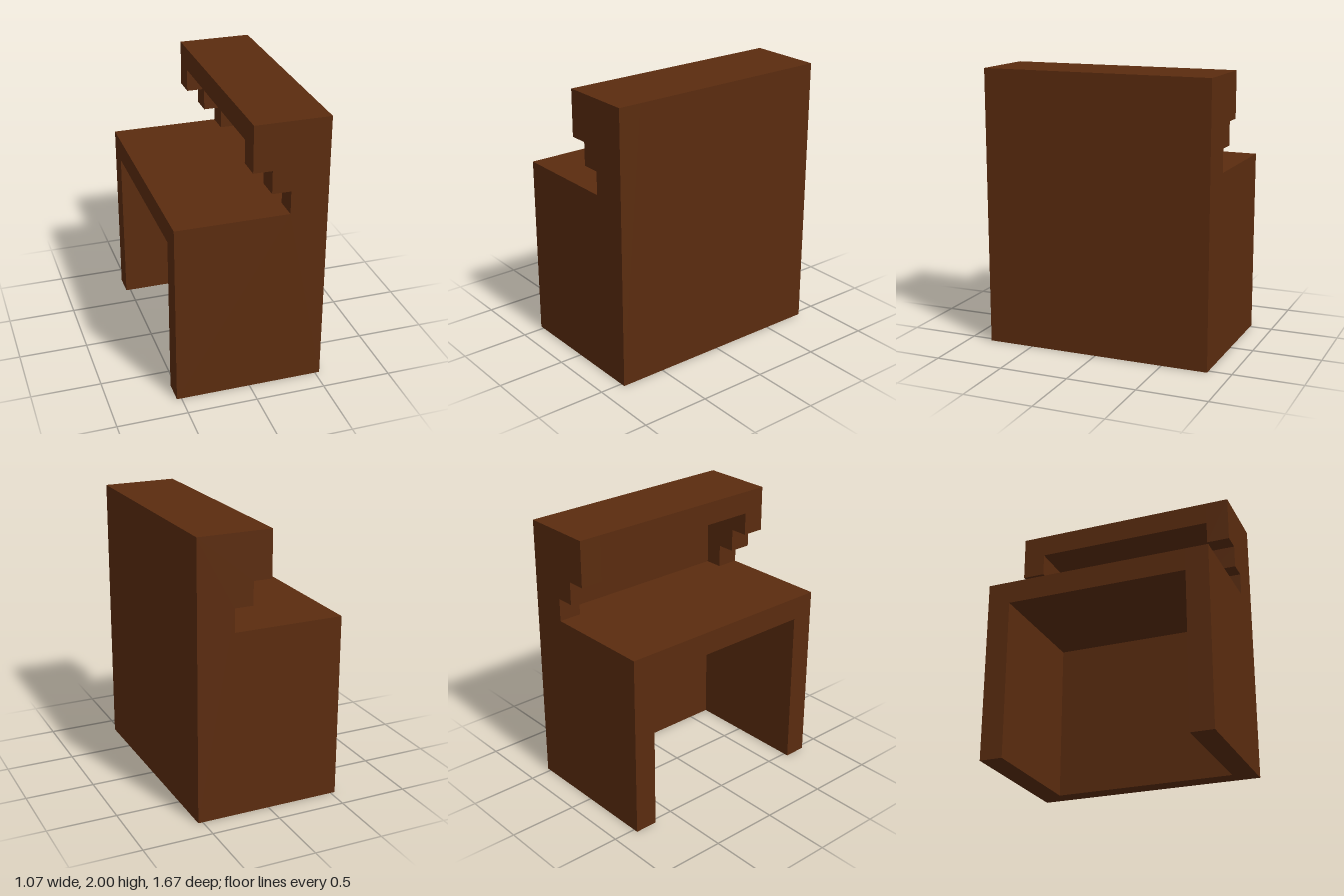
import * as THREE from 'three';

export function createModel() {
  const desk = new THREE.Group();
  desk.name = 'deskWithHutch';
  const wood = new THREE.MeshStandardMaterial({ color: 0x5b2c0f });
  wood.name = 'darkBrownWood';

  const U = 2 / 12;          // board thickness in y and z
  const W = 2 / 15;          // board thickness in x
  const X = 4 * W, Z = 5 * U; // half width and half length
  const inner = Z - U;       // inside face of the end panels

  // Stepped end panels, one at each end
  const profile = new THREE.Shape([
    [-X, 0], [X, 0], [X, 12 * U], [0, 12 * U], [0, 10 * U], [W, 10 * U],
    [W, 9 * U], [2 * W, 9 * U], [2 * W, 8 * U], [-X, 8 * U],
  ].map(([x, y]) => new THREE.Vector2(x, y)));
  const panelGeometry = new THREE.ExtrudeGeometry(profile, { depth: U, bevelEnabled: false });
  for (const [name, z] of [['frontEndPanel', inner], ['backEndPanel', -Z]]) {
    const panel = new THREE.Mesh(panelGeometry, wood);
    panel.name = name;
    panel.position.z = z;
    desk.add(panel);
  }

  // Boards spanning between the end panels
  const board = (name, x0, x1, y0, y1) => {
    const mesh = new THREE.Mesh(new THREE.BoxGeometry(x1 - x0, y1 - y0, 2 * inner), wood);
    mesh.name = name;
    mesh.position.set((x0 + x1) / 2, (y0 + y1) / 2, 0);
    desk.add(mesh);
  };
  board('tallPanel', 3 * W, X, 0, 12 * U);
  board('deskTop', -X, 3 * W, 7 * U, 8 * U);
  board('upperShelf', 0, 3 * W, 11 * U, 12 * U);

  return desk;
}
